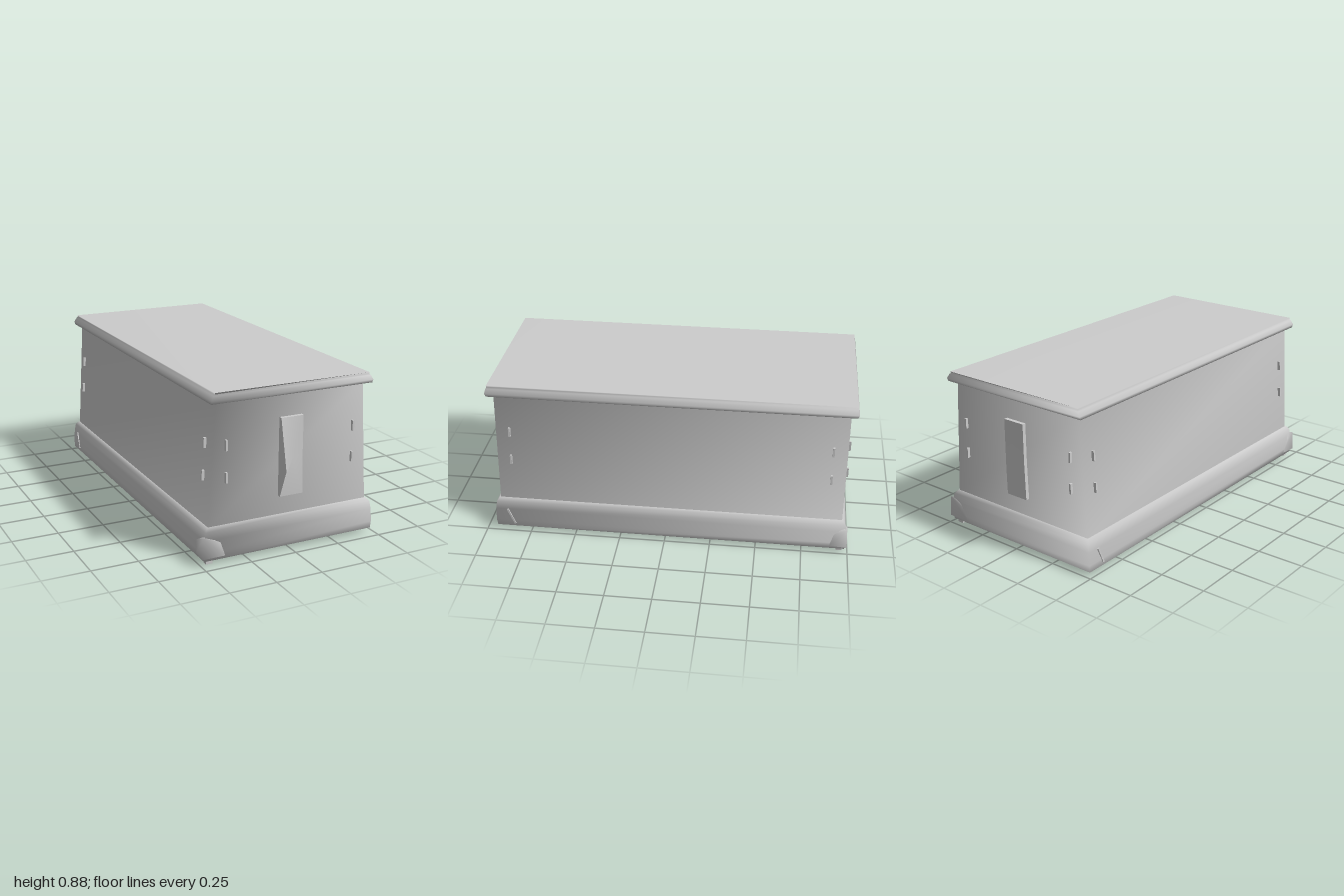
import * as THREE from 'three';

const grey = new THREE.MeshStandardMaterial({ color: 0xcccccc });
grey.name = 'stone grey';
grey.side = THREE.DoubleSide;

const CZ = -0.02; // the body sits slightly behind the origin

function surface(points, index) {
  const g = new THREE.BufferGeometry();
  g.setAttribute('position', new THREE.Float32BufferAttribute(points.flat(), 3));
  g.setIndex(index);
  g.computeVertexNormals();
  return g;
}

function add(parent, name, geometry) {
  const mesh = new THREE.Mesh(geometry, grey);
  mesh.name = name;
  parent.add(mesh);
  return mesh;
}

// Rectangular rings [half width, y, half depth] joined from bottom to top
function loft(rings, topCap = false) {
  const points = [], index = [];
  for (const [w, y, d] of rings) {
    for (const [sx, sz] of [[1, 1], [1, -1], [-1, -1], [-1, 1]]) points.push([sx * w, y, sz * d + CZ]);
  }
  for (let r = 0; r < rings.length - 1; r++) {
    for (let i = 0; i < 4; i++) {
      const a = r * 4 + i, b = r * 4 + (i + 1) % 4;
      index.push(a, b, b + 4, a, b + 4, a + 4);
    }
  }
  if (topCap) {
    const t = (rings.length - 1) * 4;
    index.push(t, t + 1, t + 3, t + 1, t + 2, t + 3);
  }
  return surface(points, index);
}

// Upright plate with a raised left edge and a pinched centre
function handlePlate(peak, centre) {
  const rim = [[-0.065, 0.29], [0.065, 0.29], [0.06, 0.49], [0.06, 0.7], [-0.065, 0.7], [-0.065, 0.44]];
  const depth = [0.02, 0.02, 0.02, 0.02, 0.02, peak];
  const face = rim.map(([x, y], i) => [x, y, depth[i]]);
  const index = [], edge = [], edgeIndex = [];
  for (let i = 0; i < 6; i++) {
    const j = (i + 1) % 6, n = edge.length;
    index.push(6, i, j);
    edge.push([...rim[i], 0], [...rim[j], 0], face[j], face[i]);
    edgeIndex.push(n, n + 1, n + 2, n, n + 2, n + 3);
  }
  face.push([0, 0.49, centre]);
  return [surface(face, index), surface(edge, edgeIndex)];
}

// Leaf-shaped guard folded around the (-x, +z) corner
function cornerGuard() {
  const points = [
    [-0.492, 0.15, 0.95], [-0.498, 0.04, 0.955],
    [-0.4, 0.115, 0.955], [-0.372, 0.038, 0.95],
    [-0.497, 0.12, 0.88], [-0.488, 0.04, 0.86],
    [-0.47, 0.15, 0.93], [-0.47, 0.03, 0.93],
  ];
  return surface(points, [0, 1, 3, 0, 3, 2, 0, 4, 5, 0, 5, 1, 0, 2, 6, 0, 6, 4, 1, 7, 3, 1, 5, 7]);
}

export function createModel() {
  const model = new THREE.Group();
  model.name = 'chest';

  // Base moulding, underside and tapered body
  add(model, 'baseMoulding', loft([
    [0.45, 0.03, 0.935], [0.465, 0.02, 0.95], [0.483, 0.022, 0.963], [0.485, 0.06, 0.967],
    [0.481, 0.13, 0.965], [0.474, 0.172, 0.96], [0.458, 0.19, 0.945], [0.445, 0.19, 0.935],
  ]));
  const underside = add(model, 'underside', new THREE.PlaneGeometry(0.9, 1.87));
  underside.rotation.x = Math.PI / 2;
  underside.position.set(0, 0.03, CZ);
  add(model, 'body', loft([[0.453, 0.185, 0.94], [0.412, 0.825, 0.94]]));

  // Lid with a stepped, sloping rim
  add(model, 'lid', loft([
    [0.4, 0.82, 0.92], [0.449, 0.82, 0.97], [0.45, 0.837, 0.978], [0.437, 0.86, 0.972],
    [0.429, 0.867, 0.968], [0.431, 0.875, 0.97],
  ], true));

  // End plates
  for (const [name, peak, centre, z, turn] of [
    ['frontHandle', 0.08, 0.028, 0.92, 0], ['backHandle', 0.022, 0.012, -0.96, Math.PI],
  ]) {
    const handle = new THREE.Group();
    handle.name = name;
    const [face, edge] = handlePlate(peak, centre);
    add(handle, name + 'Face', face);
    add(handle, name + 'Edge', edge);
    handle.position.z = z;
    handle.rotation.y = turn;
    model.add(handle);
  }

  // Small studs near every upright corner
  for (const y of [0.6, 0.435]) {
    const wall = 0.453 - (y - 0.185) * 0.064;
    for (const sx of [-1, 1]) {
      for (const sz of [-1, 1]) {
        add(model, 'endStud', new THREE.BoxGeometry(0.01, 0.054, 0.03))
          .position.set(sx * 0.358, y, CZ + sz * 0.94);
        const side = add(model, 'sideStud', new THREE.BoxGeometry(0.03, 0.052, 0.01));
        side.position.set(sx * wall, y, CZ + sz * 0.865);
        side.rotation.z = sx * 0.064;
      }
    }
  }

  // Guards, slim tabs and feet, repeated by a half turn
  for (const turn of [0, Math.PI]) {
    const corner = new THREE.Group();
    corner.name = 'cornerFittings';
    corner.rotation.y = turn;
    corner.position.z = CZ;
    add(corner, 'cornerGuard', cornerGuard()).position.z = 0.02;
    const tab = add(corner, 'sideTab', new THREE.BoxGeometry(0.016, 0.1, 0.01));
    tab.position.set(0.481, 0.085, 0.88);
    tab.rotation.x = 0.4;
    add(corner, 'foot', new THREE.BoxGeometry(0.035, 0.03, 0.03)).position.set(-0.45, 0.015, 0.935);
    model.add(corner);
  }
  return model;
}
